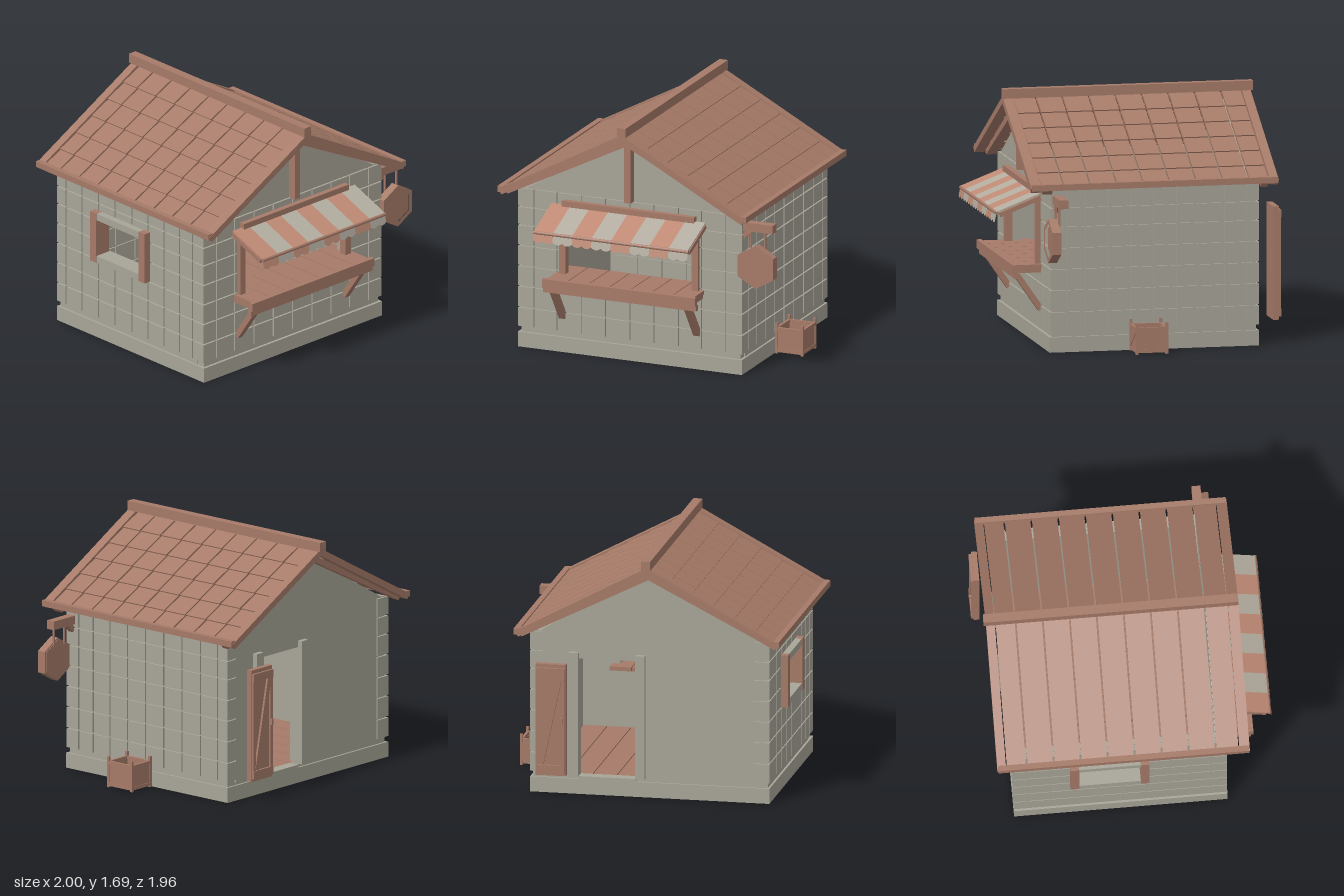
import * as THREE from 'three';

const mat = (name, color, side = THREE.FrontSide) => {
  const m = new THREE.MeshStandardMaterial({ color, side });
  m.name = name;
  return m;
};

export function createModel() {
  const stone = mat('stone', 0xa8a598);
  const wood = mat('wood', 0xa67a68);
  const clothRed = mat('clothTerracotta', 0xbf8a74, THREE.DoubleSide);
  const clothPale = mat('clothPale', 0xb3ada0, THREE.DoubleSide);
  const root = new THREE.Group();
  const CX = -0.08; // ridge line

  const add = (name, geo, m, parent = root) => {
    const mesh = new THREE.Mesh(geo, m);
    mesh.name = name;
    parent.add(mesh);
    return mesh;
  };
  const group = (name) => {
    const g = new THREE.Group();
    g.name = name;
    root.add(g);
    return g;
  };
  // box from its min and max corners
  const box = (name, m, x0, x1, y0, y1, z0, z1, parent) => {
    const mesh = add(name, new THREE.BoxGeometry(x1 - x0, y1 - y0, z1 - z0), m, parent);
    mesh.position.set((x0 + x1) / 2, (y0 + y1) / 2, (z0 + z1) / 2);
    return mesh;
  };
  // slanted bar between two points
  const beam = (name, m, a, b, w, t, parent) => {
    const A = new THREE.Vector3(...a), B = new THREE.Vector3(...b);
    const mesh = add(name, new THREE.BoxGeometry(w, t, A.distanceTo(B)), m, parent);
    mesh.position.copy(A).add(B).multiplyScalar(0.5);
    mesh.lookAt(B);
    return mesh;
  };
  // rectangle [u0,u1,v0,v1] minus a hole, as up to four rectangles
  const cut = (r, h) => {
    if (!h || h[0] >= r[1] || h[1] <= r[0] || h[2] >= r[3] || h[3] <= r[2]) return [r];
    const lo = Math.max(r[2], h[2]), hi = Math.min(r[3], h[3]);
    return [[r[0], r[1], r[2], lo], [r[0], r[1], hi, r[3]], [r[0], h[0], lo, hi], [h[1], r[1], lo, hi]]
      .filter((p) => p[1] - p[0] > 0.001 && p[3] - p[2] > 0.001);
  };
  // one flat layer of wall, facing along z or x
  const slab = (name, r, hole, d0, d1, axis, parent) => cut(r, hole).forEach(([u0, u1, v0, v1]) =>
    axis === 'z' ? box(name, stone, u0, u1, v0, v1, d0, d1, parent) : box(name, stone, d0, d1, v0, v1, u0, u1, parent));

  // ---- stone base and walls ----
  const rows = [0.14, 0.28, 0.43, 0.575, 0.72, 0.865, 0.995, 1.13];
  const colsX = [-0.91, -0.79, -0.62, -0.44, -0.26, -0.08, 0.1, 0.28, 0.45, 0.63, 0.75];
  const colsZ = [-0.8, -0.71, -0.555, -0.39, -0.225, -0.06, 0.1, 0.26, 0.41, 0.54, 0.63];
  const G = 0.005; // half joint
  const blocks = (cols, hole, d0, d1, axis, parent) => {
    for (let i = 0; i + 1 < cols.length; i++)
      for (let j = 0; j + 1 < rows.length; j++) {
        const l = i === 0 ? 0 : G, r = i === cols.length - 2 ? 0 : G;
        slab('wallBlock', [cols[i] + l, cols[i + 1] - r, rows[j] + G, rows[j + 1] - G], hole, d0, d1, axis, parent);
      }
  };
  box('base', stone, -0.91, 0.75, 0, 0.105, -0.8, 0.655);

  const counterHole = [-0.57, 0.41, 0.52, 0.995];
  const doorHole = [0.015, 0.42, 0.105, 0.95];
  const sideHole = [-0.38, 0.08, 0.62, 0.905];
  const front = group('frontWall');
  slab('wallCore', [-0.89, 0.73, 0.105, 1.13], counterHole, 0.57, 0.635, 'z', front);
  blocks(colsX, counterHole, 0.63, 0.65, 'z', front);
  const right = group('leftWall');
  slab('wallCore', [-0.78, 0.57, 0.105, 1.13], null, 0.67, 0.735, 'x', right);
  blocks(colsZ, null, 0.73, 0.75, 'x', right);
  const left = group('windowWall');
  slab('wallCore', [-0.78, 0.57, 0.105, 1.13], sideHole, -0.895, -0.83, 'x', left);
  blocks(colsZ, sideHole, -0.91, -0.89, 'x', left);
  const back = group('backWall');
  slab('wallCore', [-0.89, 0.73, 0.105, 1.13], doorHole, -0.785, -0.73, 'z', back);
  slab('backPanel', [-0.795, 0.66, 0.125, 1.13], doorHole, -0.795, -0.78, 'z', back);
  blocks(colsX.slice(1, -1), doorHole, -0.735, -0.72, 'z', back);
  for (let j = 0; j < 7; j++) {
    box('cornerStone', stone, -0.89, -0.8, rows[j] + G, rows[j + 1] - G, -0.8, -0.78, back);
    box('cornerStone', stone, 0.665, 0.73, rows[j] + G, rows[j + 1] - G, -0.8, -0.78, back);
  }

  // ---- gables ----
  const tri = new THREE.Shape([[-0.77, 1.13], [0.77, 1.13], [0, 1.57]].map((p) => new THREE.Vector2(...p)));
  for (const z of [0.575, -0.795])
    add('gable', new THREE.ExtrudeGeometry(tri, { depth: 0.065, bevelEnabled: false }), stone).position.set(CX, 0, z);

  // ---- roof ----
  const chevron = (name, top, slope, D, t, z0, z1) => {
    const tip = D - 0.028, yEnd = top - slope * D, yTip = top - t - slope * tip;
    const s = new THREE.Shape([[0, top], [-D, yEnd], [-tip, yTip], [0, top - t], [tip, yTip], [D, yEnd]]
      .map((p) => new THREE.Vector2(...p)));
    add(name, new THREE.ExtrudeGeometry(s, { depth: z1 - z0, bevelEnabled: false }), wood).position.set(CX, 0, z0);
  };
  chevron('bargeBoard', 1.64, 0.538, 0.915, 0.05, 0.73, 0.8);
  chevron('bargeBoard', 1.64, 0.538, 0.915, 0.05, -0.92, -0.86);
  chevron('rafter', 1.585, 0.503, 0.905, 0.047, 0.65, 0.72);
  chevron('rafter', 1.585, 0.503, 0.905, 0.047, -0.85, -0.8);
  box('ridgeBeam', wood, CX - 0.031, CX + 0.031, 1.625, 1.69, -0.937, 0.8);
  box('kingPost', wood, CX - 0.024, CX + 0.024, 1.13, 1.55, 0.64, 0.7);
  const cutsZ = [0.73];
  for (let i = 0; i < 8; i++) cutsZ.push(0.57 - 0.184 * i);
  cutsZ.push(-0.86);
  const tiles = group('roofTiles');
  const angle = Math.atan(0.538), N = 6, step = 0.885 / N;
  for (const s of [-1, 1]) {
    for (let r = 0; r < N; r++)
      for (let i = 0; i < 9; i++) {
        const d = step * (r + 0.5) + 0.005;
        const w = cutsZ[i] - cutsZ[i + 1] - 0.012;
        const t = add('roofTile', new THREE.BoxGeometry(step / Math.cos(angle) + 0.003, 0.022, w), wood, tiles);
        t.position.set(CX + s * d, 1.615 - 0.538 * d, (cutsZ[i] + cutsZ[i + 1]) / 2);
        t.rotation.z = -s * (angle - 0.05);
      }
    const ex = CX + s * 0.9;
    box('eaveRail', wood, ex - 0.02, ex + 0.02, 1.126, 1.168, -0.915, 0.795);
  }

  // ---- floor and door ----
  for (let i = 0; i < 9; i++)
    box('floorPlank', wood, -0.83 + i * 0.1667, -0.67 + i * 0.1667, 0.1, 0.12, -0.72, 0.57);
  box('doorSill', stone, 0.015, 0.42, 0.1, 0.125, -0.8, -0.72);
  box('doorPost', stone, -0.05, 0.015, 0.13, 0.995, -0.83, -0.74);
  box('doorPost', stone, 0.41, 0.48, 0.13, 0.995, -0.83, -0.74);
  const door = group('doorLeaf');
  box('doorPanel', wood, 0.47, 0.68, 0.16, 0.94, -0.955, -0.915, door);
  for (const y of [0.18, 0.86]) box('doorRail', wood, 0.475, 0.675, y, y + 0.055, -0.972, -0.95, door);
  for (const x of [0.475, 0.65]) box('doorStile', wood, x, x + 0.025, 0.18, 0.915, -0.968, -0.95, door);
  beam('doorBrace', wood, [0.64, 0.24, -0.96], [0.51, 0.86, -0.96], 0.022, 0.035, door);
  box('doorHandle', wood, 0.49, 0.505, 0.53, 0.57, -0.985, -0.96, door);

  // ---- side window ----
  const win = group('sideWindow');
  for (const z of [-0.42, 0.06]) box('windowJamb', wood, -0.96, -0.84, 0.58, 0.945, z, z + 0.06, win);
  box('windowLintel', stone, -0.957, -0.83, 0.895, 0.943, -0.36, 0.06, win);
  box('windowSill', stone, -0.957, -0.83, 0.582, 0.63, -0.36, 0.06, win);

  // ---- counter ----
  const counter = group('counter');
  for (let i = 0; i < 7; i++)
    box('counterPlank', wood, -0.62 + i * 0.156, -0.47 + i * 0.156, 0.535, 0.563, 0.48, 0.825, counter);
  box('counterFront', wood, -0.645, 0.49, 0.507, 0.567, 0.822, 0.855, counter);
  box('counterApron', wood, -0.645, 0.49, 0.47, 0.51, 0.805, 0.838, counter);
  for (const x of [-0.6, 0.395]) {
    box('counterBearer', wood, x - 0.02, x + 0.065, 0.507, 0.537, 0.6, 0.825, counter);
    beam('counterBrace', wood, [x + 0.02, 0.25, 0.645], [x + 0.02, 0.495, 0.815], 0.045, 0.04, counter);
  }
  for (const x of [-0.595, 0.387]) box('counterPost', wood, x, x + 0.048, 0.56, 1.04, 0.625, 0.68, counter);

  // ---- striped awning with scalloped edge ----
  const awning = group('awning');
  box('awningTopBar', wood, -0.57, 0.41, 1.04, 1.085, 0.645, 0.69, awning);
  const SW = 0.1425;
  for (let i = 0; i < 8; i++) {
    const x = -0.655 + SW * i, m = i % 2 ? clothPale : clothRed;
    beam('awningStripe', m, [x + SW / 2, 1.05, 0.665], [x + SW / 2, 0.935, 0.963], SW, 0.008, awning);
    const s = new THREE.Shape();
    s.moveTo(0, 0);
    s.lineTo(0, -0.055);
    for (let k = 0; k < 2; k++)
      s.quadraticCurveTo(SW * (k / 2 + 0.25), -0.085, SW * (k + 1) / 2, -0.055);
    s.lineTo(SW, 0);
    const v = add('awningValance', new THREE.ShapeGeometry(s, 4), m, awning);
    v.position.set(x, 0.93, 0.966);
    v.rotation.x = -0.2;
  }
  for (const x of [-0.64, 0.473])
    beam('awningSideBar', wood, [x, 1.025, 0.66], [x, 0.915, 0.94], 0.03, 0.03, awning);
  const rod = add('awningRod', new THREE.CylinderGeometry(0.012, 0.012, 1.145, 8), wood, awning);
  rod.rotation.z = Math.PI / 2;
  rod.position.set(-0.083, 0.928, 0.963);

  // ---- hanging hexagonal sign ----
  const sign = group('hangingSign');
  box('signArm', wood, 0.74, 0.97, 1.02, 1.08, 0.573, 0.635, sign);
  beam('signArmBrace', wood, [0.745, 0.975, 0.605], [0.8, 1.03, 0.605], 0.04, 0.035, sign);
  for (const x of [0.805, 0.91]) box('signHanger', wood, x - 0.005, x + 0.005, 0.88, 1.03, 0.618, 0.632, sign);
  const hex = (r, Kind = THREE.Shape) => new Kind(Array.from({ length: 6 }, (_, i) =>
    new THREE.Vector2(Math.sin(i * Math.PI / 3) * r, Math.cos(i * Math.PI / 3) * r)));
  const ring = hex(0.152);
  ring.holes.push(hex(0.117, THREE.Path));
  for (const [name, shape, z, depth] of [['signFrame', ring, 0.63, 0.06], ['signBoard', hex(0.14), 0.625, 0.04]])
    add(name, new THREE.ExtrudeGeometry(shape, { depth, bevelEnabled: false }), wood, sign).position.set(0.866, 0.787, z);

  // ---- open crate ----
  const crate = group('crate');
  const [x0, x1, z0, z1] = [0.755, 0.962, -0.123, 0.103];
  box('crateFloor', wood, x0 + 0.01, x1 - 0.01, 0.01, 0.03, z0 + 0.01, z1 - 0.01, crate);
  for (const x of [x0, x1 - 0.018])
    for (const z of [z0, z1 - 0.018]) box('cratePost', wood, x, x + 0.018, 0, 0.215, z, z + 0.018, crate);
  for (const z of [z0 + 0.006, z1 - 0.016]) {
    box('cratePanel', wood, x0, x1, 0.02, 0.165, z, z + 0.01, crate);
    for (const y of [0.01, 0.162]) box('crateRail', wood, x0, x1, y, y + 0.022, z - 0.004, z + 0.014, crate);
    beam('crateBrace', wood, [x0 + 0.02, 0.04, z + 0.005], [x1 - 0.02, 0.16, z + 0.005], 0.018, 0.018, crate);
  }
  for (const x of [x0 + 0.006, x1 - 0.016]) {
    box('cratePanel', wood, x, x + 0.01, 0.02, 0.165, z0, z1, crate);
    for (const y of [0.01, 0.162]) box('crateRail', wood, x - 0.004, x + 0.014, y, y + 0.022, z0, z1, crate);
  }
  return root;
}
